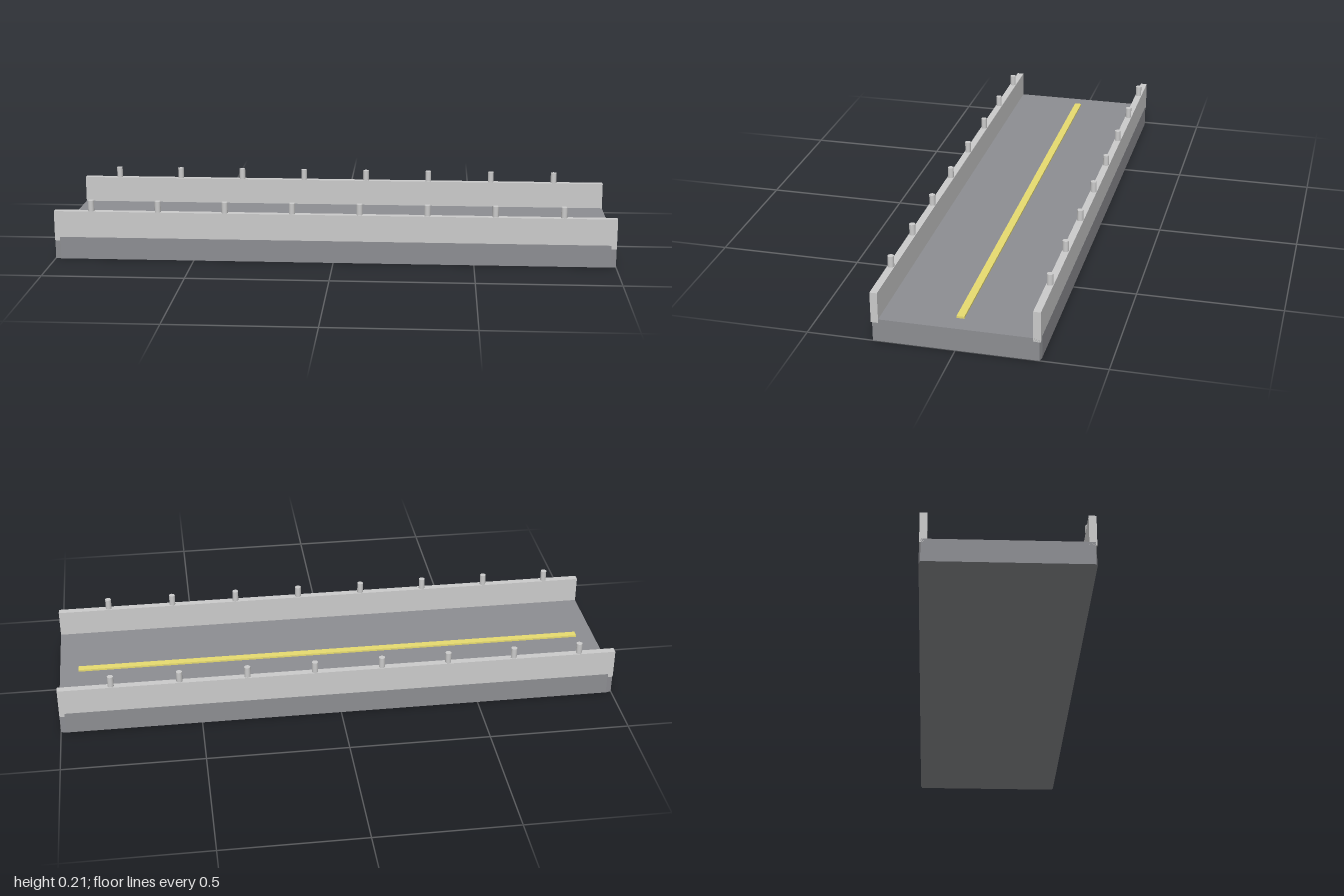
import * as THREE from 'three';

const DECK_TOP = 0.08;
const RAIL_Z = 0.2675;

function paint(color) {
  return new THREE.MeshStandardMaterial({ color });
}

function addMesh(parent, name, geometry, material, x, y, z) {
  const mesh = new THREE.Mesh(geometry, material);
  mesh.name = name;
  mesh.position.set(x, y, z);
  parent.add(mesh);
  return mesh;
}

// Slab outline with long, shallow chamfers at the four corners
function deckGeometry() {
  const x = 1, z = 0.2804, cx = 0.02, cz = 0.005;
  const outline = new THREE.Shape([
    [x, -z + cz], [x, z - cz], [x - cx, z], [-x + cx, z],
    [-x, z - cz], [-x, -z + cz], [-x + cx, -z], [x - cx, -z],
  ].map(([px, pz]) => new THREE.Vector2(px, pz)));
  return new THREE.ExtrudeGeometry(outline, { depth: DECK_TOP, bevelEnabled: false })
    .rotateX(-Math.PI / 2);
}

export function createModel() {
  const model = new THREE.Group();
  model.name = 'bridgeSection';
  const asphalt = paint(0x8d8e92);
  const grey = paint(0xcccccc);
  const yellow = paint(0xe8dc70);

  // Road deck and raised centre line
  addMesh(model, 'deck', deckGeometry(), asphalt, 0, 0, 0);
  addMesh(model, 'centreLine', new THREE.BoxGeometry(1.865, 0.012, 0.026), yellow, 0, 0.081, 0);

  // Parapet walls with a row of short posts on each side
  const wall = new THREE.BoxGeometry(2, 0.108, 0.025);
  const post = new THREE.CylinderGeometry(0.011, 0.011, 0.06, 12);
  for (const side of [1, -1]) {
    const parapet = new THREE.Group();
    parapet.name = side > 0 ? 'frontParapet' : 'backParapet';
    addMesh(parapet, 'wall', wall, grey, 0, 0.121, side * RAIL_Z);
    for (let i = 0; i < 8; i++) {
      addMesh(parapet, 'post', post, grey, -0.867 + i * 0.24, 0.184, side * RAIL_Z);
    }
    model.add(parapet);
  }
  return model;
}
